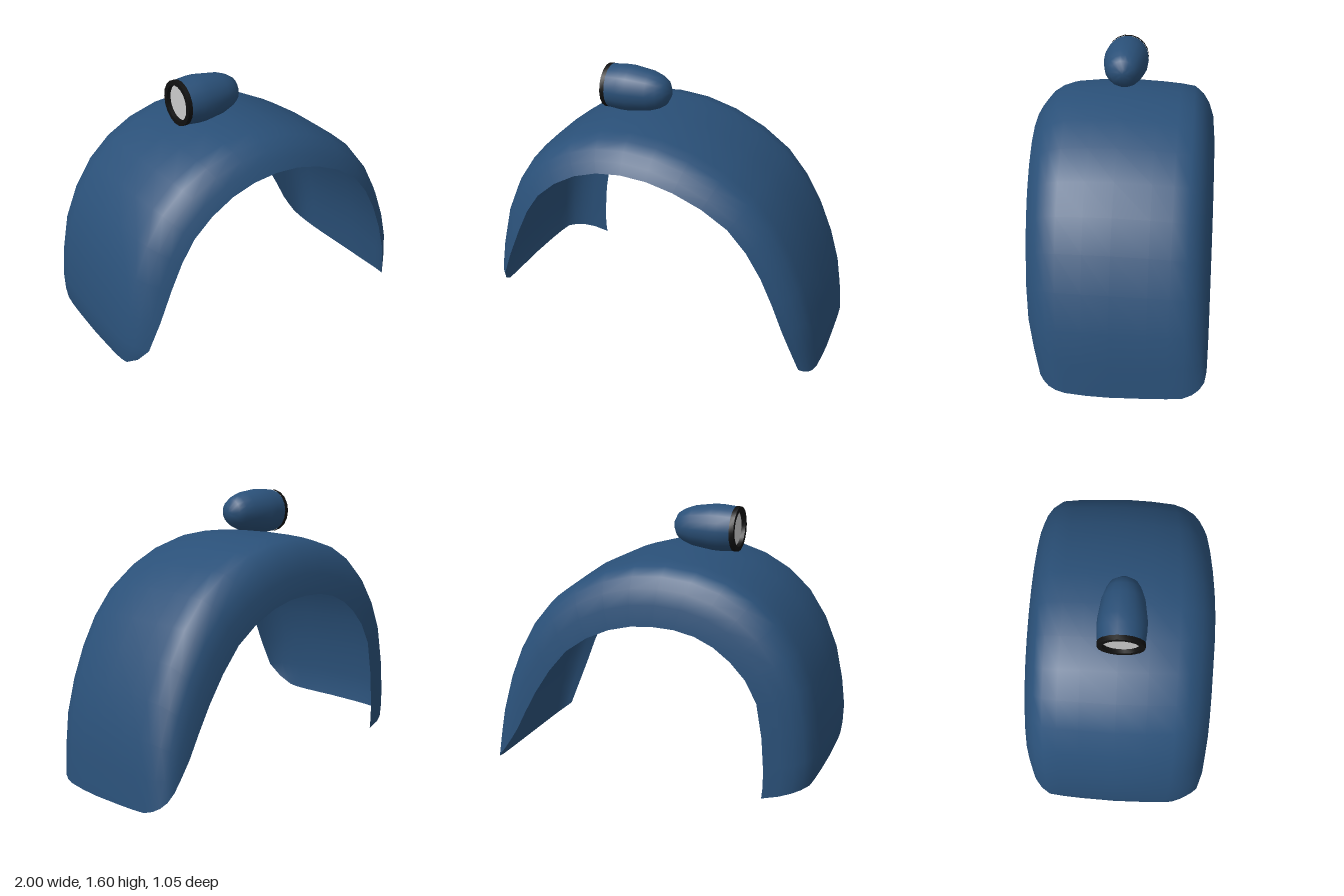
import * as THREE from 'three';
import { toCreasedNormals } from 'three/addons/utils/BufferGeometryUtils.js';

const paint = new THREE.MeshStandardMaterial({ color: 0x2a5078, side: THREE.DoubleSide });
const black = new THREE.MeshStandardMaterial({ color: 0x111111 });
const grey = new THREE.MeshStandardMaterial({ color: 0xcccccc });

const curve = (pts) => new THREE.CatmullRomCurve3(pts.map((p) => new THREE.Vector3(...p)), false, 'catmullrom', 0.5);

// Guide lines of the fender, all running from the right end to the left end
const crown = curve([
  [-0.985, 0.2, 0], [-1, 0.37, 0], [-0.94, 0.76, 0], [-0.76, 1.1, 0], [-0.48, 1.3, 0], [-0.12, 1.37, 0],
  [0.25, 1.3, 0], [0.6, 1.09, 0], [0.82, 0.77, 0], [0.955, 0.38, 0], [0.998, 0.005, 0],
]);
const frontRim = curve([
  [-0.975, 0.215, 0.36], [-0.91, 0.35, 0.5], [-0.765, 0.7, 0.52], [-0.62, 0.955, 0.52], [-0.38, 1.125, 0.52], [-0.1, 1.185, 0.523],
  [0.2, 1.13, 0.51], [0.5, 0.96, 0.487], [0.69, 0.69, 0.47], [0.82, 0.36, 0.445], [0.915, 0.07, 0.375],
]);
const backRim = curve([
  [-0.725, 0.13, -0.525], [-0.73, 0.3, -0.525], [-0.68, 0.68, -0.525], [-0.53, 0.89, -0.525], [-0.33, 1.005, -0.525], [-0.09, 1.03, -0.525],
  [0.17, 0.98, -0.525], [0.44, 0.82, -0.525], [0.65, 0.54, -0.525], [0.79, 0.28, -0.525], [0.89, 0.13, -0.522],
]);

// Cross-section rule: [share of the way in z, share of the drop from crown to rim]
const frontProfile = [[1, 1], [0.94, 0.7], [0.86, 0.43], [0.75, 0.23], [0.62, 0.11], [0.32, 0.03]];
const backProfile = [[0, 0], [0.38, 0.03], [0.6, 0.06], [0.76, 0.1], [0.86, 0.235], [0.93, 0.41], [0.98, 0.65], [1, 1]];

function fenderGeometry(steps) {
  const pos = [], index = [];
  const cols = frontProfile.length + backProfile.length;
  for (let i = 0; i <= steps; i++) {
    const c = crown.getPoint(i / steps);
    const add = (rim, profile) => profile.forEach(([w, d]) => pos.push(
      c.x + (rim.x - c.x) * d, c.y + (rim.y - c.y) * d, rim.z * w));
    add(frontRim.getPoint(i / steps), frontProfile);
    add(backRim.getPoint(i / steps), backProfile);
  }
  for (let i = 0; i < steps; i++) {
    for (let j = 0; j < cols - 1; j++) {
      const a = i * cols + j, b = a + cols;
      index.push(a, b, b + 1, a, b + 1, a + 1);
    }
  }
  const geo = new THREE.BufferGeometry();
  geo.setAttribute('position', new THREE.Float32BufferAttribute(pos, 3));
  geo.setIndex(index);
  geo.computeVertexNormals();
  return geo;
}

function part(name, geo, material) {
  const mesh = new THREE.Mesh(geo, material);
  mesh.name = name;
  return mesh;
}

// Turned part lying along x; profile points are [radius, x]
function turned(profile) {
  const geo = new THREE.LatheGeometry(profile.map(([r, x]) => new THREE.Vector2(r, x)), 18);
  geo.rotateZ(-Math.PI / 2);
  return toCreasedNormals(geo, 0.8);
}

export function createModel() {
  const model = new THREE.Group();
  model.name = 'fenderWithLamp';
  model.add(part('fender', fenderGeometry(20), paint));

  // Bullet lamp on the crown, its lens facing -x
  const lamp = new THREE.Group();
  lamp.name = 'lamp';
  lamp.position.set(0, 1.478, 0.015);
  lamp.add(part('lampBody', turned([
    [0.125, -0.375], [0.132, -0.3], [0.132, -0.25], [0.115, -0.13], [0.095, -0.075],
    [0.072, -0.038], [0.03, -0.014], [0, -0.012],
  ]), paint));
  lamp.add(part('lampRim', turned([
    [0.098, -0.37], [0.1, -0.398], [0.126, -0.398], [0.127, -0.372],
  ]), black));
  const lens = part('lampLens', new THREE.CircleGeometry(0.1, 18), grey);
  lens.rotation.y = -Math.PI / 2;
  lens.position.x = -0.375;
  lamp.add(lens);
  model.add(lamp);
  return model;
}
